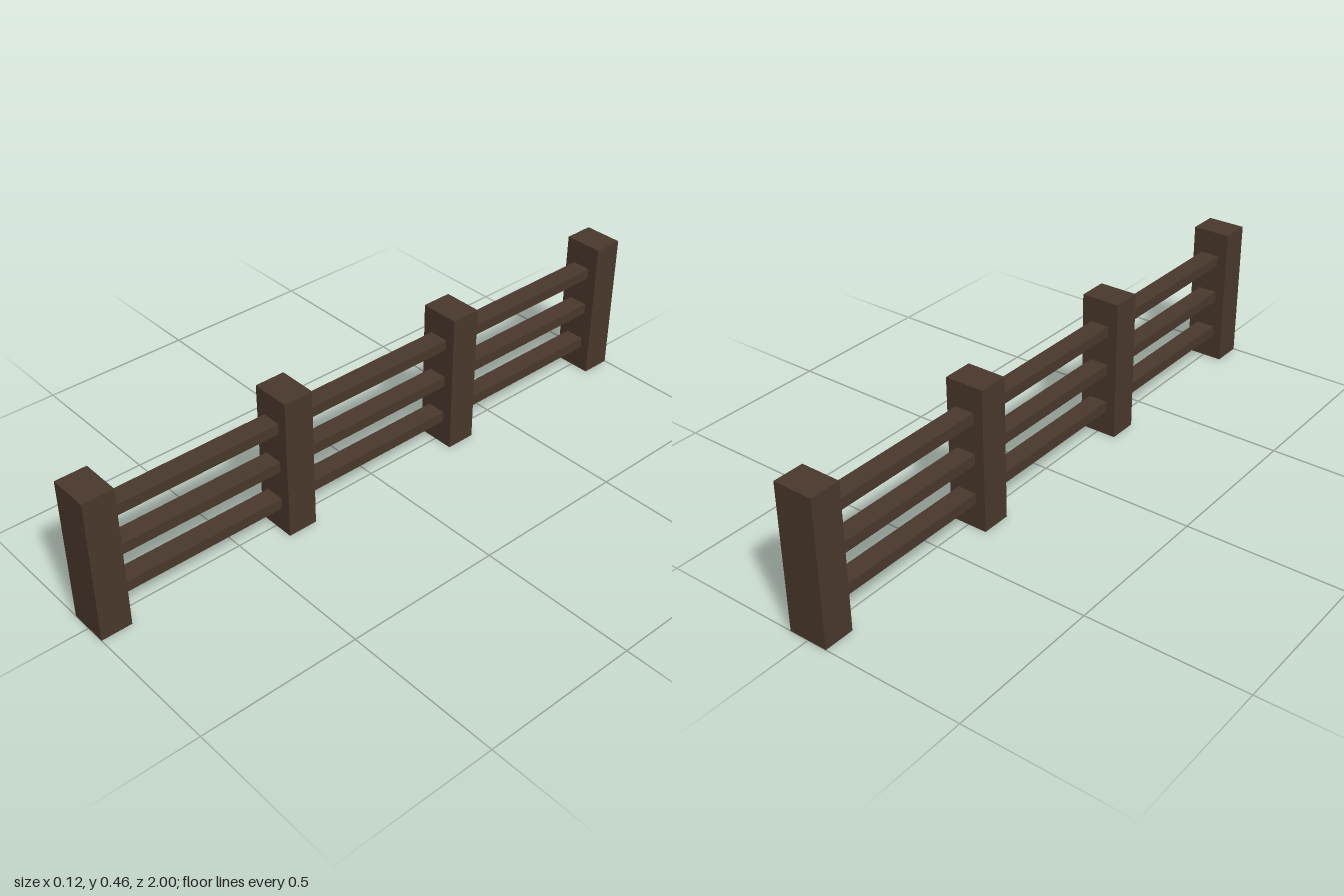
import * as THREE from 'three';

export function createModel() {
  const fence = new THREE.Group();
  fence.name = 'fence';
  const wood = new THREE.MeshStandardMaterial({ color: 0x4a382c, flatShading: true });

  const addBox = (name, w, h, d, y, z) => {
    const mesh = new THREE.Mesh(new THREE.BoxGeometry(w, h, d), wood);
    mesh.name = name;
    mesh.position.set(0, y, z);
    fence.add(mesh);
  };

  // Four evenly spaced square posts
  const postHeight = 0.458, postDepth = 0.096, postCount = 4;
  const spacing = (2 - postDepth) / (postCount - 1);
  for (let i = 0; i < postCount; i++) {
    const z = 1 - postDepth / 2 - i * spacing;
    addBox(`post${i + 1}`, 0.125, postHeight, postDepth, postHeight / 2, z);
  }

  // Three rails running through all the posts, ending inside the outer ones
  const railNames = ['lowerRail', 'middleRail', 'upperRail'];
  [0.1, 0.23, 0.361].forEach((y, i) => {
    addBox(railNames[i], 0.062, 0.034, 2 - postDepth, y, 0);
  });

  return fence;
}
